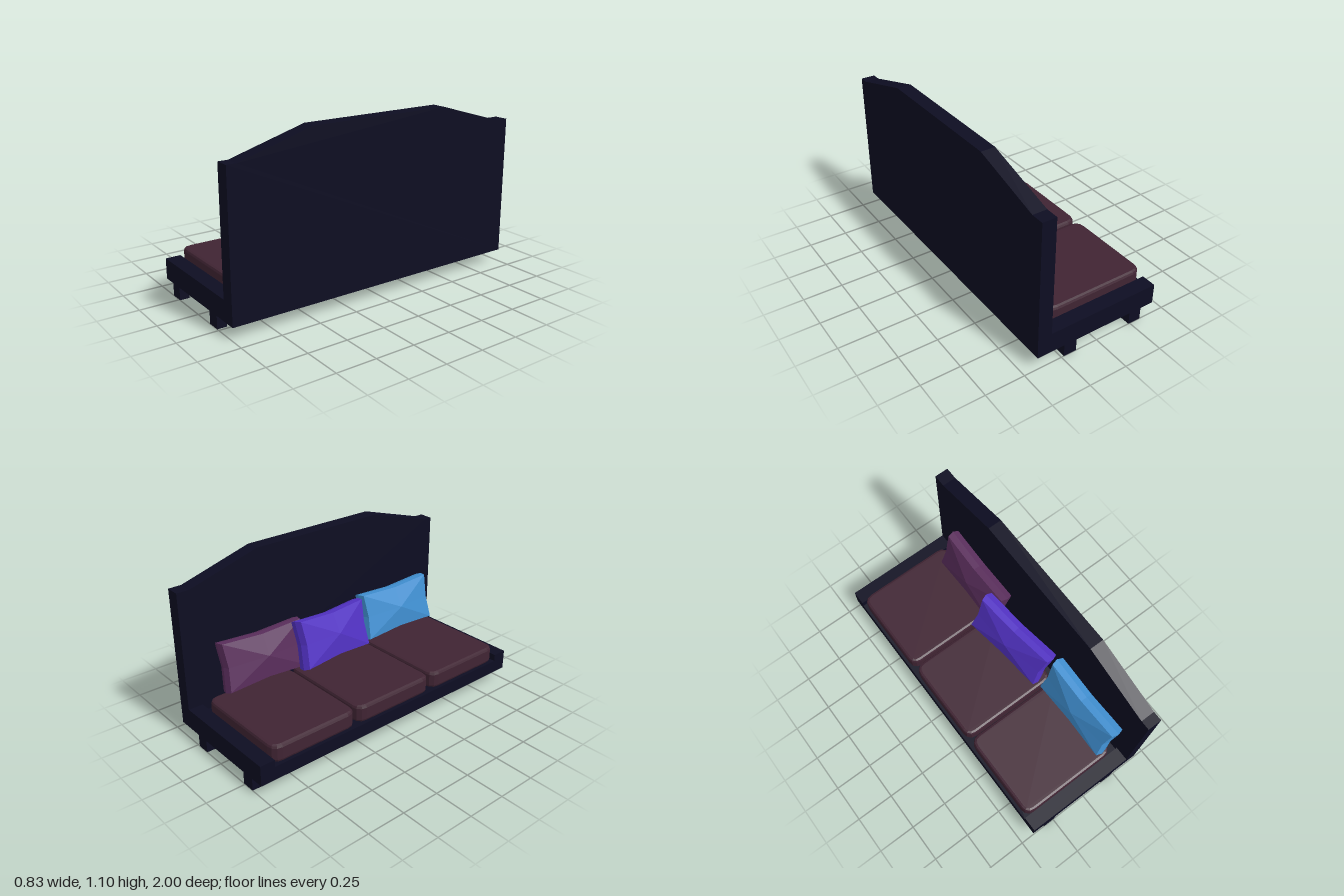
import * as THREE from 'three';

const mat = (name, color) => {
  const m = new THREE.MeshStandardMaterial({ color, flatShading: true });
  m.name = name;
  return m;
};

// Boxy pillow: pinched edges, a seam ring and a pointed bulge on both faces
function pillowGeometry(thick, height, width, bulge) {
  const h = height / 2, w = width / 2, t = thick / 2;
  const outline = [[-h, -w], [-h * 0.9, 0], [-h, w], [0, w * 0.95], [h, w], [h * 0.9, 0], [h, -w], [0, -w * 0.95]];
  const pos = [], idx = [], n = outline.length;
  [[-t, 0.96], [0, 1], [t, 0.96]].forEach(([x, s]) => outline.forEach(([y, z]) => pos.push(x, y * s, z * s)));
  pos.push(-t - bulge, 0, 0, t + bulge, 0, 0);
  for (let i = 0; i < n; i++) {
    const j = (i + 1) % n;
    for (const r of [0, n]) idx.push(r + i, r + n + j, r + n + i, r + i, r + j, r + n + j);
    idx.push(3 * n, j, i, 3 * n + 1, 2 * n + i, 2 * n + j);
  }
  // Orient every triangle away from the pillow's centre
  const p = k => new THREE.Vector3().fromArray(pos, k * 3);
  for (let k = 0; k < idx.length; k += 3) {
    const [a, b, c] = [p(idx[k]), p(idx[k + 1]), p(idx[k + 2])];
    const normal = b.clone().sub(a).cross(c.clone().sub(a));
    if (normal.dot(a.add(b).add(c)) < 0) [idx[k + 1], idx[k + 2]] = [idx[k + 2], idx[k + 1]];
  }
  const g = new THREE.BufferGeometry();
  g.setAttribute('position', new THREE.Float32BufferAttribute(pos, 3));
  g.setIndex(idx);
  const flat = g.toNonIndexed();
  flat.computeVertexNormals();
  return flat;
}

// Seat cushion: rounded rectangle with softened top and bottom edges
function cushionGeometry(sx, sy, sz) {
  const bevel = 0.018, r = 0.045, a = sx / 2 - bevel, b = sz / 2 - bevel;
  const s = new THREE.Shape();
  s.moveTo(-a + r, -b);
  s.lineTo(a - r, -b);
  s.quadraticCurveTo(a, -b, a, -b + r);
  s.lineTo(a, b - r);
  s.quadraticCurveTo(a, b, a - r, b);
  s.lineTo(-a + r, b);
  s.quadraticCurveTo(-a, b, -a, b - r);
  s.lineTo(-a, -b + r);
  s.quadraticCurveTo(-a, -b, -a + r, -b);
  const g = new THREE.ExtrudeGeometry(s, {
    depth: sy - 2 * bevel, bevelThickness: bevel, bevelSize: bevel, bevelSegments: 2, curveSegments: 3,
  });
  g.rotateX(-Math.PI / 2);
  g.translate(0, bevel, 0);
  return g;
}

export function createModel() {
  const model = new THREE.Group();
  model.name = 'sofa';
  const navy = mat('navy frame', 0x0d0d22);
  const maroon = mat('maroon cushion', 0x402433);
  const plum = mat('plum pillow', 0x5a2e5c);
  const violet = mat('violet pillow', 0x5232c4);
  const blue = mat('blue pillow', 0x4090d2);

  const add = (name, geometry, material, x = 0, y = 0, z = 0) => {
    const mesh = new THREE.Mesh(geometry, material);
    mesh.name = name;
    mesh.position.set(x, y, z);
    model.add(mesh);
    return mesh;
  };
  const box = (name, x0, x1, y0, y1, z0, z1) =>
    add(name, new THREE.BoxGeometry(x1 - x0, y1 - y0, z1 - z0), navy, (x0 + x1) / 2, (y0 + y1) / 2, (z0 + z1) / 2);

  // Low seat deck between two raised end rails
  box('seatDeck', -0.415, 0.325, 0.08, 0.165, -0.905, 0.905);
  box('endRailRight', -0.415, 0.325, 0.08, 0.21, -1, -0.905);
  box('endRailLeft', -0.415, 0.325, 0.08, 0.21, 0.905, 1);

  // Short legs
  for (const [x0, x1] of [[-0.325, -0.24], [0.148, 0.233]]) {
    box('legRight', x0, x1, 0, 0.08, -1, -0.915);
    box('legLeft', x0, x1, 0, 0.08, 0.94, 1);
  }

  // Tall backrest with a sloped crest
  const profile = [[-1, 0.08], [1, 0.08], [1, 0.965], [0.94, 0.965], [0.475, 1.1], [-0.455, 1.1], [-0.918, 0.965], [-1, 0.965]];
  const back = new THREE.ExtrudeGeometry(new THREE.Shape(profile.map(p => new THREE.Vector2(...p))), { depth: 0.09, bevelEnabled: false });
  back.rotateY(-Math.PI / 2);
  add('backrest', back, navy, 0.415);

  // Three seat cushions
  for (const z of [-0.605, 0.003, 0.61]) add('seatCushion', cushionGeometry(0.67, 0.11, 0.59), maroon, -0.065, 0.163, z);

  // Leaning pillows: material, position, lean, turn, roll
  const pillows = [
    ['plumPillow', plum, 0.252, 0.442, -0.505, 0.24, 0, 0.02],
    ['violetPillow', violet, 0.183, 0.45, -0.015, 0.29, 0.14, 0.07],
    ['bluePillow', blue, 0.246, 0.438, 0.59, 0.25, 0, 0],
  ];
  for (const [name, material, x, y, z, lean, turn, roll] of pillows) {
    const pillow = add(name, pillowGeometry(0.088, 0.315, 0.59, 0.033), material, x, y, z);
    pillow.rotation.set(roll, turn, -lean, 'YXZ');
  }
  return model;
}
